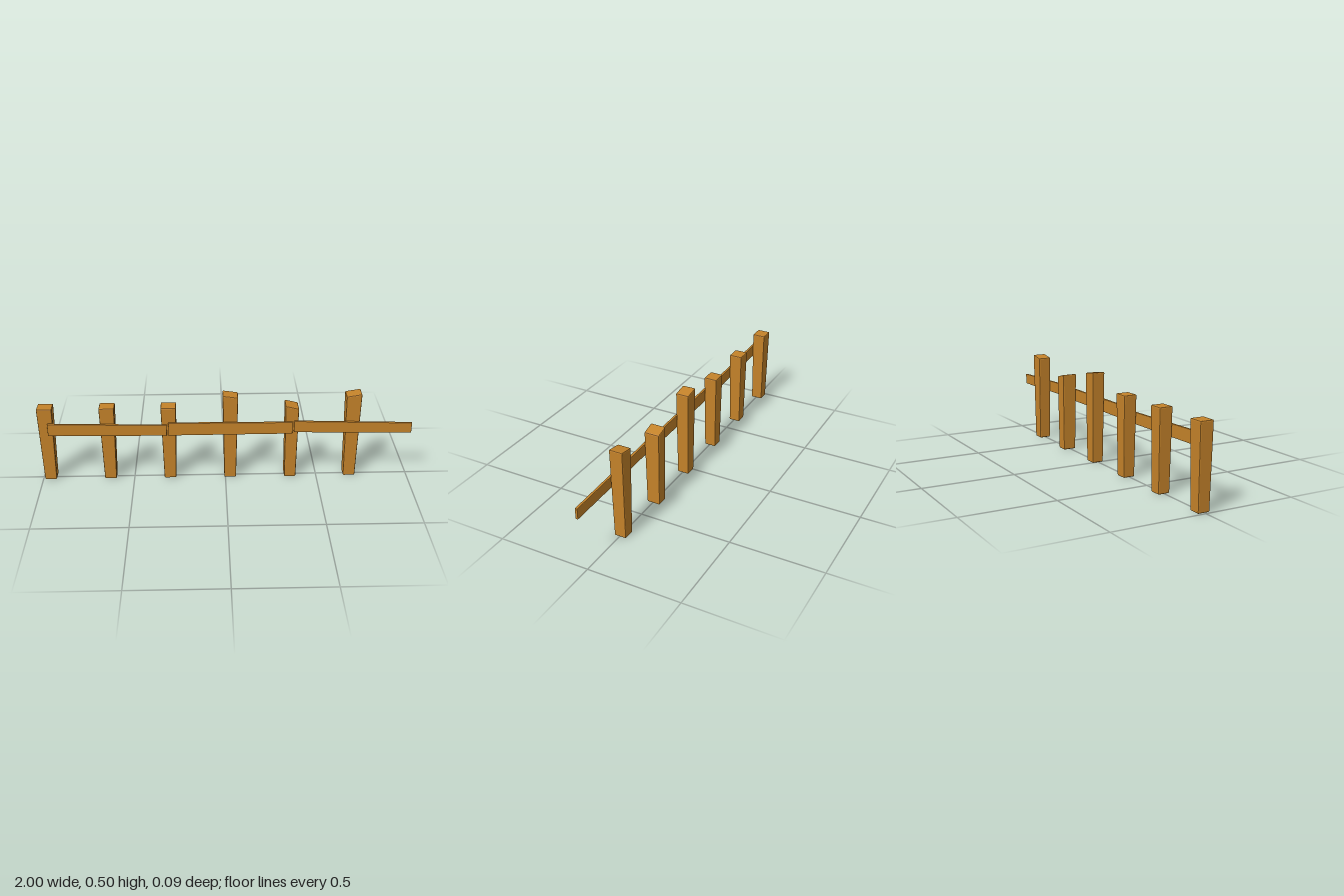
import * as THREE from 'three';
import { RoundedBoxGeometry } from 'three/addons/geometries/RoundedBoxGeometry.js';

const wood = new THREE.MeshStandardMaterial({ color: 0xc5832a });
wood.name = 'wood';
const { lerp } = THREE.MathUtils;

// Bevelled box whose vertices are moved by rule(point), then faceted again
function warpedBox(name, w, h, d, bevel, rule) {
  const geo = new RoundedBoxGeometry(w, h, d, 1, bevel);
  const pos = geo.attributes.position;
  const p = new THREE.Vector3();
  for (let i = 0; i < pos.count; i++) {
    p.fromBufferAttribute(pos, i);
    rule(p);
    pos.setXYZ(i, p.x, p.y, p.z);
  }
  geo.computeVertexNormals();
  const mesh = new THREE.Mesh(geo, wood);
  mesh.name = name;
  return mesh;
}

// Post that widens upward, with a top sloping from height hl (-x) to hr (+x)
function post([x, hl, hr, w = 0.082, zFront = 0.033, zBack = -0.041]) {
  const h = (hl + hr) / 2, d = zFront - zBack;
  const mesh = warpedBox('post', w, h, d, 0.006, (p) => {
    const t = p.y / h + 0.5;
    const top = lerp(hl, hr, p.x / w + 0.5);
    p.x *= lerp(w > 0.08 ? 0.78 : 0.87, 1, t);
    p.z *= lerp(0.87, 1, t);
    p.y = t * top;
  });
  mesh.position.set(x, 0, (zFront + zBack) / 2);
  return mesh;
}

// Thin plank given by its two ends: x, bottom y, top y
function rail([x0, b0, t0, x1, b1, t1]) {
  const w = x1 - x0, h = 0.07;
  return warpedBox('rail', w, h, 0.014, 0.003, (p) => {
    const s = p.x / w + 0.5;
    p.y = lerp(lerp(b0, b1, s), lerp(t0, t1, s), p.y / h + 0.5);
    p.x = lerp(x0, x1, s);
    p.z += 0.041;
  });
}

export function createModel() {
  const fence = new THREE.Group();
  fence.name = 'fence';

  // Six posts: x, left height, right height, then any different sizes
  [
    [-0.958, 0.433, 0.433],
    [-0.63, 0.433, 0.433],
    [-0.303, 0.433, 0.433],
    [0.026, 0.5, 0.488],
    [0.355, 0.438, 0.42, 0.072, 0.037, -0.047],
    [0.682, 0.487, 0.5],
  ].forEach((spec) => fence.add(post(spec)));

  // Three planks along the front
  [
    [-0.946, 0.282, 0.352, -0.314, 0.275, 0.337],
    [-0.305, 0.276, 0.35, 0.358, 0.278, 0.346],
    [0.366, 0.286, 0.352, 0.999, 0.274, 0.334],
  ].forEach((spec) => fence.add(rail(spec)));

  return fence;
}
